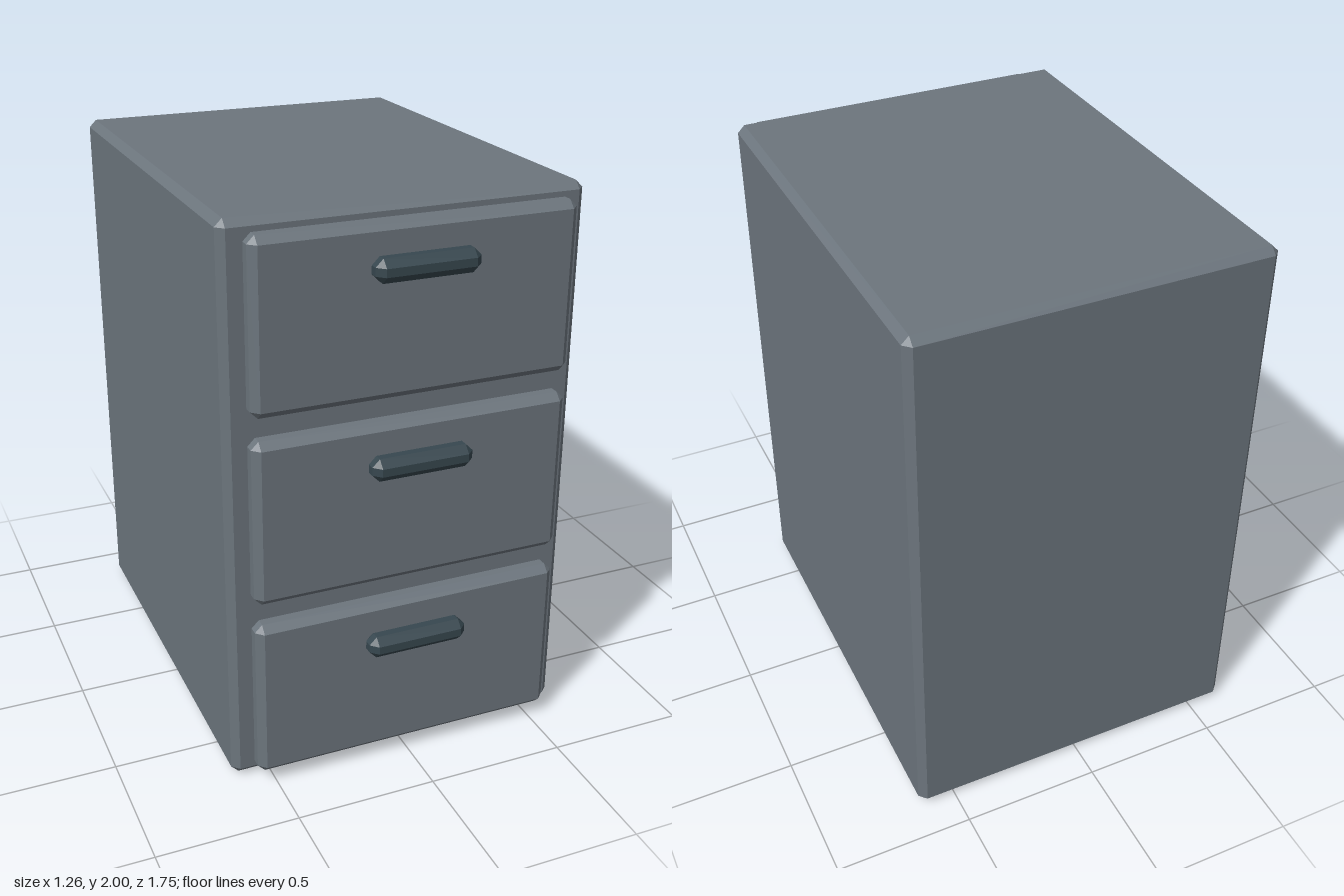
import * as THREE from 'three';
import { ConvexGeometry } from 'three/addons/geometries/ConvexGeometry.js';

// Box with every edge cut by a flat 45 degree chamfer
function chamferBox(w, h, d, c) {
  const points = [];
  for (const x of [-w / 2, w / 2])
    for (const y of [-h / 2, h / 2])
      for (const z of [-d / 2, d / 2]) {
        const ix = x - Math.sign(x) * c, iy = y - Math.sign(y) * c, iz = z - Math.sign(z) * c;
        points.push(
          new THREE.Vector3(x, iy, iz),
          new THREE.Vector3(ix, y, iz),
          new THREE.Vector3(ix, iy, z)
        );
      }
  return new ConvexGeometry(points);
}

function addPart(parent, name, geometry, material, y, z) {
  const mesh = new THREE.Mesh(geometry, material);
  mesh.name = name;
  mesh.position.set(0, y, z);
  parent.add(mesh);
}

export function createModel() {
  const model = new THREE.Group();
  model.name = 'filingCabinet';

  const steel = new THREE.MeshStandardMaterial({ color: 0x6c757d });
  steel.name = 'grey steel';
  const dark = new THREE.MeshStandardMaterial({ color: 0x37474f });
  dark.name = 'dark handle';

  // Cabinet body
  addPart(model, 'body', chamferBox(1.265, 2, 1.584, 0.026), steel, 1, -0.08);

  // Three drawers, each with a front panel and a bar handle
  const panel = chamferBox(1.125, 0.588, 0.084, 0.026);
  const bar = chamferBox(0.36, 0.08, 0.08, 0.026);
  for (let i = 0; i < 3; i++) {
    const drawer = new THREE.Group();
    drawer.name = `drawer${i + 1}`;
    drawer.position.y = 0.337 + i * 0.666;
    addPart(drawer, 'drawerFront', panel, steel, 0, 0.754);
    addPart(drawer, 'handle', bar, dark, 0.159, 0.834);
    model.add(drawer);
  }

  return model;
}
